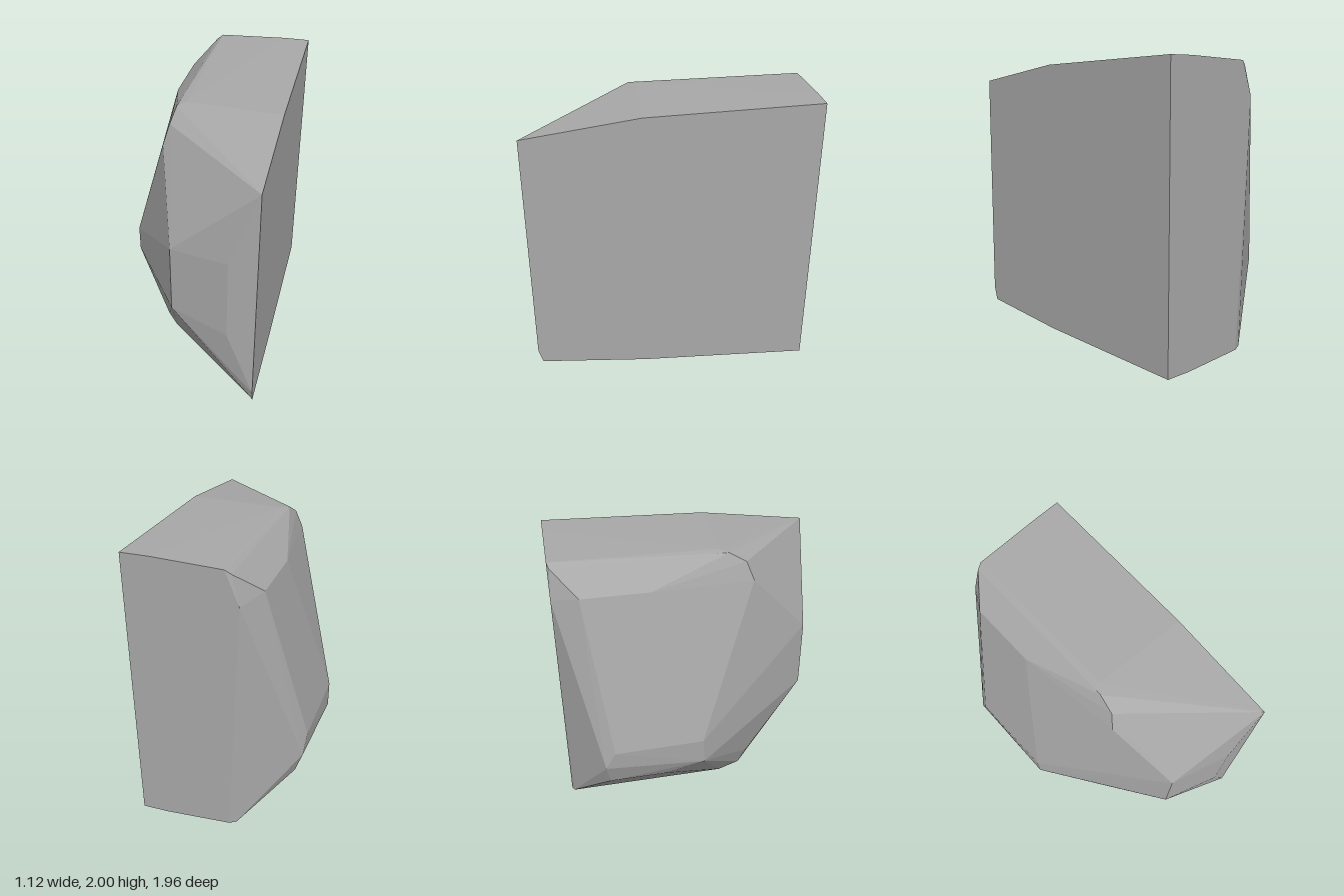
import * as THREE from 'three';
import { ConvexGeometry } from 'three/addons/geometries/ConvexGeometry.js';

export function createModel() {
  const group = new THREE.Group();
  group.name = 'cutRock';

  const stone = new THREE.MeshStandardMaterial({ color: 0xa8a8a8 });
  stone.name = 'stoneGrey';

  // Corners of the faceted half boulder, grouped by region
  const flatCut = [
    [0.56, 2, -0.98], [0.56, 1.96, 0.2], [0.56, 1.85, 0.98],
    [0.56, 0.2, 0.98], [0.56, 0.1, 0.95], [0.56, 0.04, 0.2], [0.56, 0, -0.98],
  ];
  const crown = [
    [0.37, 2, -0.98], [-0.11, 1.98, -0.98], [-0.15, 1.95, -0.965],
    [-0.15, 1.95, 0.23], [-0.1, 1.96, 0.17], [-0.165, 1.88, 0.35],
  ];
  const foot = [
    [0.37, 0, -0.98], [-0.1, 0.03, -0.98], [-0.15, 0.045, -0.965],
    [-0.15, 0.045, 0.2], [-0.16, 0.11, 0.35],
  ];
  const frontRidge = [
    [-0.2, 1.75, 0.4], [-0.04, 1.25, 0.85], [0.37, 1.3, 0.975],
    [0.37, 0.7, 0.975], [-0.04, 0.75, 0.85], [-0.2, 0.26, 0.4],
  ];
  const bulgingSide = [
    [-0.2, 1.75, -0.98], [-0.3, 1.79, -0.8], [-0.3, 1.79, -0.33],
    [-0.56, 0.69, -0.66], [-0.55, 0.56, -0.73], [-0.56, 0.7, -0.03],
    [-0.555, 0.51, -0.02], [-0.49, 0.39, -0.3], [-0.49, 0.39, -0.7],
  ];

  const points = [flatCut, crown, foot, frontRidge, bulgingSide]
    .flat().map((p) => new THREE.Vector3(...p));
  const rock = new THREE.Mesh(new ConvexGeometry(points), stone);
  rock.name = 'rockBody';
  group.add(rock);
  return group;
}
